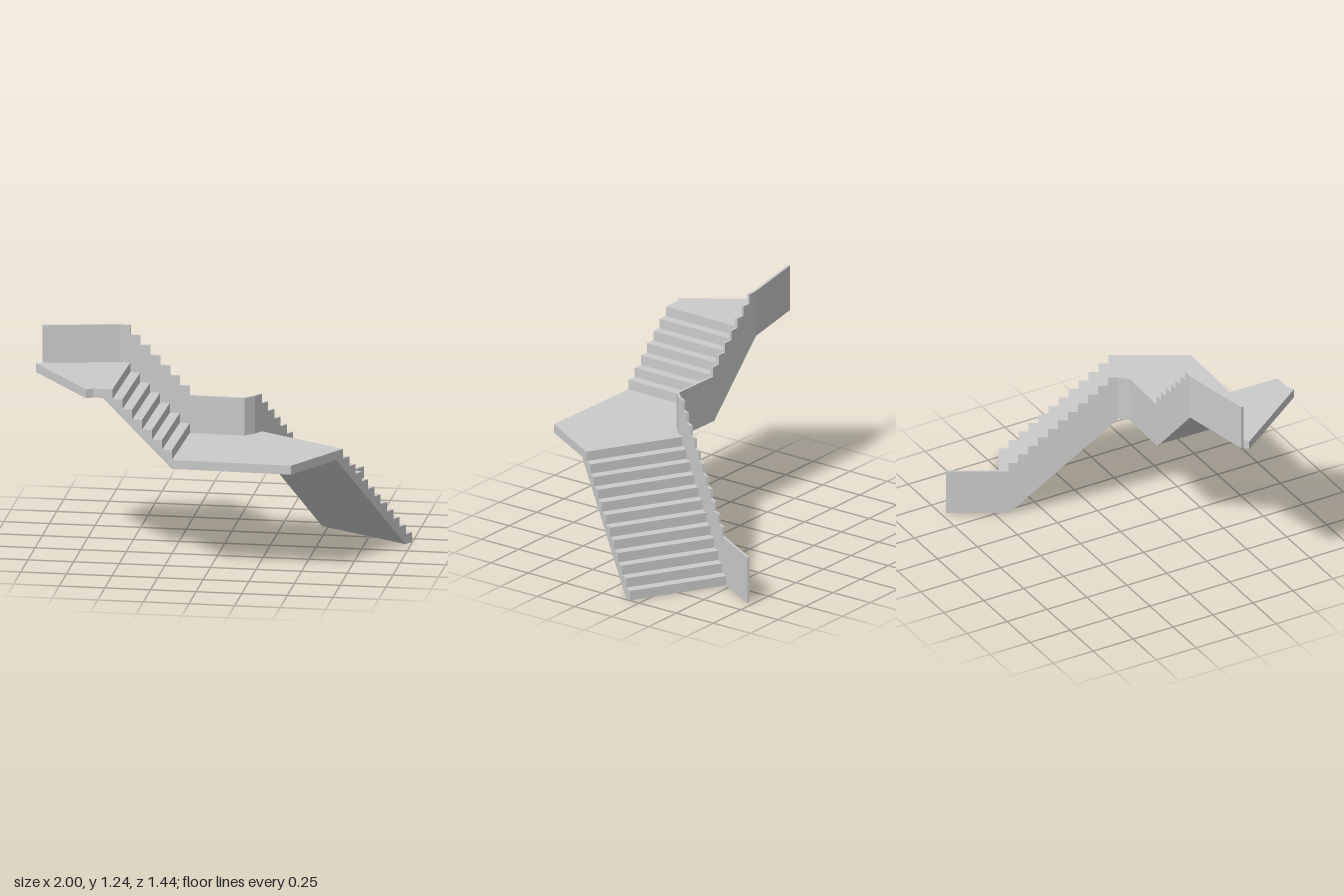
import * as THREE from 'three';

const material = new THREE.MeshStandardMaterial({ color: 0xcccccc, flatShading: true });
const RISE = 0.65 / 12;
const LAND = 0.65, TOP = 1.03, SLAB = 0.05, RAIL = 0.21;

function addMesh(group, name, geometry) {
  const mesh = new THREE.Mesh(geometry, material);
  mesh.name = name;
  group.add(mesh);
}

// Extrude a side profile [u, y] between two plan lines a0-a1 (back) and b0-b1 (front); u runs 0..1
function sweep(profile, a0, a1, b0, b1) {
  const shape = new THREE.Shape(profile.map(([u, y]) => new THREE.Vector2(u, y)));
  const geo = new THREE.ExtrudeGeometry(shape, { depth: 1, bevelEnabled: false });
  const pos = geo.attributes.position;
  const mix = (p, q, t) => p + (q - p) * t;
  for (let i = 0; i < pos.count; i++) {
    const u = pos.getX(i), w = pos.getZ(i);
    const [x, z] = [0, 1].map((k) => mix(mix(a0[k], a1[k], u), mix(b0[k], b1[k], u), w));
    pos.setXYZ(i, x, pos.getY(i), z);
  }
  geo.computeVertexNormals();
  return geo;
}

// Flat slab from a plan outline [x, z]
function slab(outline, top) {
  const shape = new THREE.Shape(outline.map(([x, z]) => new THREE.Vector2(x, -z)));
  const geo = new THREE.ExtrudeGeometry(shape, { depth: SLAB, bevelEnabled: false });
  return geo.rotateX(-Math.PI / 2).translate(0, top - SLAB, 0);
}

// Descending stepped line: count drops, starting at u0 and y0
function steps(u0, du, y0, count) {
  const pts = [];
  for (let k = 0; k < count; k++) {
    pts.push([u0 + k * du, y0 - k * RISE], [u0 + k * du, y0 - (k + 1) * RISE]);
  }
  return pts;
}

export function createModel() {
  const group = new THREE.Group();
  group.name = 'staircase';

  // Inner face of the parapet, from the upper end to the foot
  const path = [[-0.965, 0.21], [-0.55, 0.13], [0.13, 0.145], [0.181, 0.095], [0.65, -0.717]];
  const normals = path.slice(1).map((p, i) => {
    const dx = p[0] - path[i][0], dz = p[1] - path[i][1], l = Math.hypot(dx, dz);
    return [dz / l, -dx / l];
  });
  // Mitred outer face
  const outer = path.map((p, i) => {
    const m = normals[Math.max(i - 1, 0)], n = normals[Math.min(i, normals.length - 1)];
    const k = 0.014 / (1 + m[0] * n[0] + m[1] * n[1]);
    return [p[0] + (m[0] + n[0]) * k, p[1] + (m[1] + n[1]) * k];
  });

  // Upper flight
  const ux = (x) => (x + 0.55) / 0.38;
  const upper = [[0, TOP - SLAB], [1, LAND - SLAB], [1, LAND],
    ...steps(ux(-0.497), 0.0545 / 0.38, TOP, 7).reverse().slice(1), [0, TOP]];
  addMesh(group, 'upperFlight', sweep(upper, path[1], [-0.17, 0.138], [-0.56, 0.69], [-0.18, 0.70]));

  // Lower flight: s is the distance past the top riser
  const su = (s) => (s + 0.058) / 0.653;
  const lower = [[0, LAND - SLAB], [su(0.537), 0],
    ...steps(su(0), 0.0541 / 0.653, LAND, 12).reverse(), [0, LAND]];
  addMesh(group, 'lowerFlight', sweep(lower, path[3], [0.508, -0.47], [0.671, 0.38], [0.998, -0.185]));

  // Landings
  addMesh(group, 'middleLanding', slab(
    [[-0.18, 0.70], [0.475, 0.715], [0.671, 0.38], path[3], path[2], [-0.17, 0.138]], LAND));
  addMesh(group, 'topLanding', slab(
    [[-1, 0.225], [-0.65, 0.71], [-0.615, 0.69], [-0.56, 0.69], path[1], path[0]], TOP));

  // Parapet panels following the landings and flights
  const flat = (y0, y1) => [[0, y0], [1, y0], [1, y1], [0, y1]];
  const wx = (x) => (x + 0.55) / 0.68;
  const ws = (s) => (s + 0.058) / 0.938;
  const railTop = LAND + RAIL;
  const profiles = [
    flat(TOP - SLAB, TOP + RAIL),
    [[0, TOP - SLAB], [wx(-0.18), LAND - SLAB], [1, LAND - SLAB], [1, railTop],
      ...steps(wx(-0.495), 0.0545 / 0.68, railTop + 7 * RISE, 7).reverse(), [0, railTop + 7 * RISE]],
    flat(LAND - SLAB, railTop),
    [[0, LAND - SLAB], [ws(0.537), 0], [1, 0], [1, railTop - 11 * RISE],
      ...steps(ws(0), 0.0541 / 0.938, railTop, 11).reverse(), [0, railTop]],
  ];
  const names = ['topParapet', 'upperFlightParapet', 'cornerParapet', 'lowerFlightParapet'];
  profiles.forEach((profile, i) => addMesh(group, names[i],
    sweep(profile, outer[i], outer[i + 1], path[i], path[i + 1])));

  return group;
}
